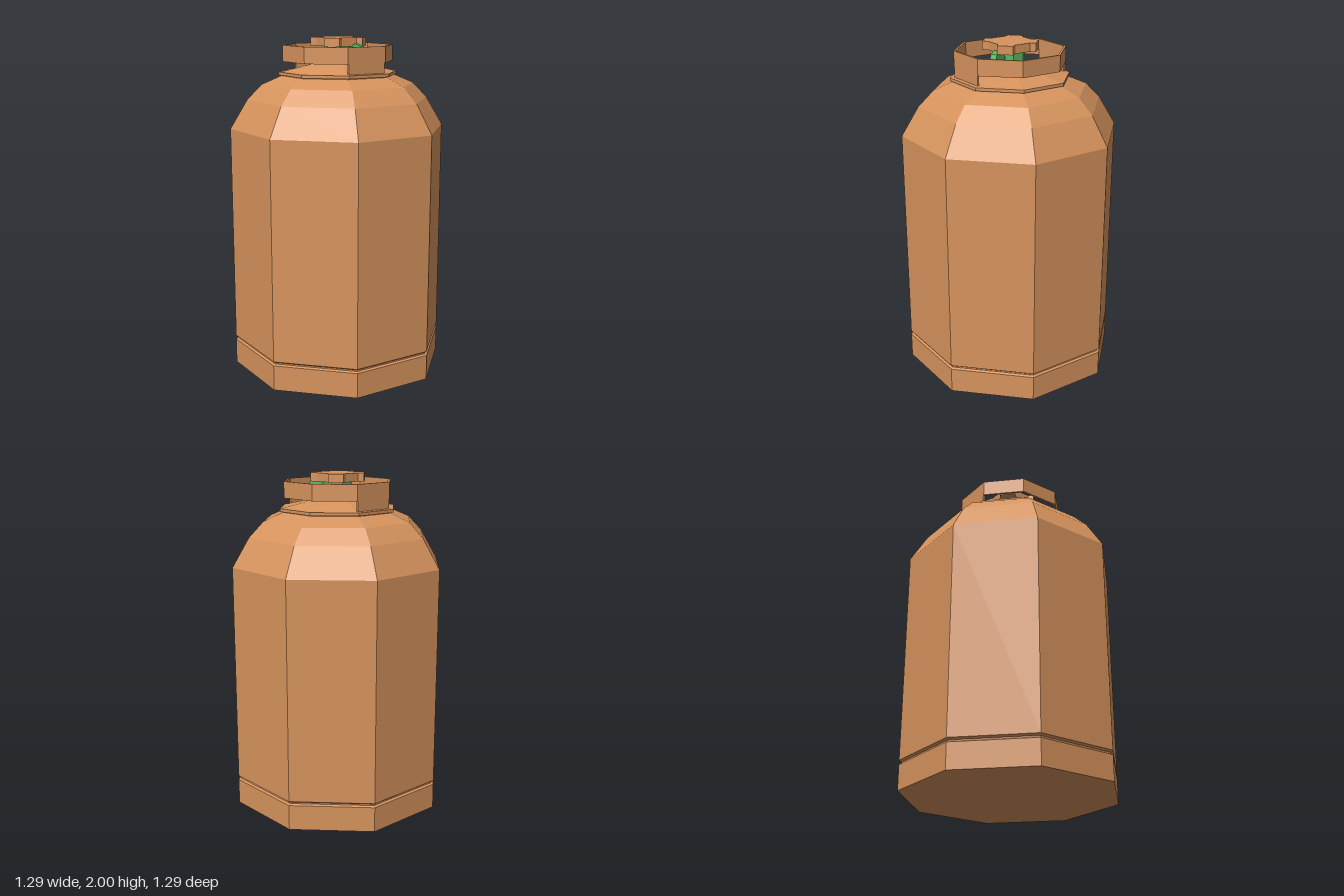
import * as THREE from 'three';

const SIDES = 8;

// Unshared vertices give crisp faceted normals
function flat(geometry) {
  const g = geometry.index ? geometry.toNonIndexed() : geometry;
  g.computeVertexNormals();
  return g;
}

function lathe(profile) {
  return flat(new THREE.LatheGeometry(profile.map(([r, y]) => new THREE.Vector2(r, y)), SIDES));
}

export function createModel() {
  const group = new THREE.Group();
  const copper = new THREE.MeshStandardMaterial({ color: 0xd6935d });
  copper.name = 'copper orange';
  const green = new THREE.MeshStandardMaterial({ color: 0x5ab65f });
  green.name = 'valve green';

  const add = (name, geometry, material = copper, parent = group) => {
    const mesh = new THREE.Mesh(geometry, material);
    mesh.name = name;
    parent.add(mesh);
    return mesh;
  };

  // Foot ring, separated from the tank by a narrow groove
  add('base', lathe([[0, 0], [0.645, 0], [0.645, 0.15], [0.63, 0.157], [0.63, 0.165]]));

  // Tank wall and rounded shoulder
  add('tank', lathe([
    [0.63, 0.165], [0.645, 0.175], [0.645, 1.47], [0.543, 1.64],
    [0.457, 1.728], [0.34, 1.778], [0.34, 1.785],
  ]));

  // Neck flange with its shallow conical cap
  add('neckCap', lathe([[0.34, 1.785], [0.355, 1.782], [0.355, 1.8], [0.33, 1.803], [0.08, 1.862], [0, 1.865]]));

  // Guard collar held up by two opposite plates
  const outer = 0.33, inner = 0.317, low = 1.86, high = 1.955;
  const collar = new THREE.Group();
  collar.name = 'collar';
  group.add(collar);
  add('collarRing', lathe([[inner, low], [outer, low], [outer, high], [inner, high], [inner, low]]), copper, collar);
  const half = Math.PI / SIDES;
  const thickness = (outer - inner) * Math.cos(half);
  for (const angle of [3 * half, 11 * half]) {
    const leg = add('collarLeg', new THREE.BoxGeometry(2 * inner * Math.sin(half), 0.065, thickness), copper, collar);
    const d = outer * Math.cos(half) - thickness / 2;
    leg.position.set(Math.sin(angle) * d, 1.828, Math.cos(angle) * d);
    leg.rotation.y = angle;
  }

  // Valve stem and side outlet
  const valve = new THREE.Group();
  valve.name = 'valve';
  group.add(valve);
  add('valveStem', flat(new THREE.CylinderGeometry(0.085, 0.085, 0.11, SIDES)), green, valve).position.y = 1.9;
  const outlet = add('valveOutlet', flat(new THREE.CylinderGeometry(0.05, 0.05, 0.04, SIDES)), green, valve);
  outlet.rotation.x = Math.PI / 2;
  outlet.position.set(0.135, 1.915, 0);

  // Hand wheel with four lobes
  const lobe = [[-0.1, 0.13], [-0.015, 0.162], [0, 0.13], [0.09, 0.092]];
  const outline = [];
  for (let i = 0; i < 4; i++) {
    for (const [x, y] of lobe) {
      outline.push(new THREE.Vector2(x, y).rotateAround(new THREE.Vector2(), -i * Math.PI / 2));
    }
  }
  const wheel = new THREE.ExtrudeGeometry(new THREE.Shape(outline), { depth: 0.05, bevelEnabled: false });
  wheel.rotateX(-Math.PI / 2);
  add('handWheel', flat(wheel)).position.y = 1.95;

  return group;
}
